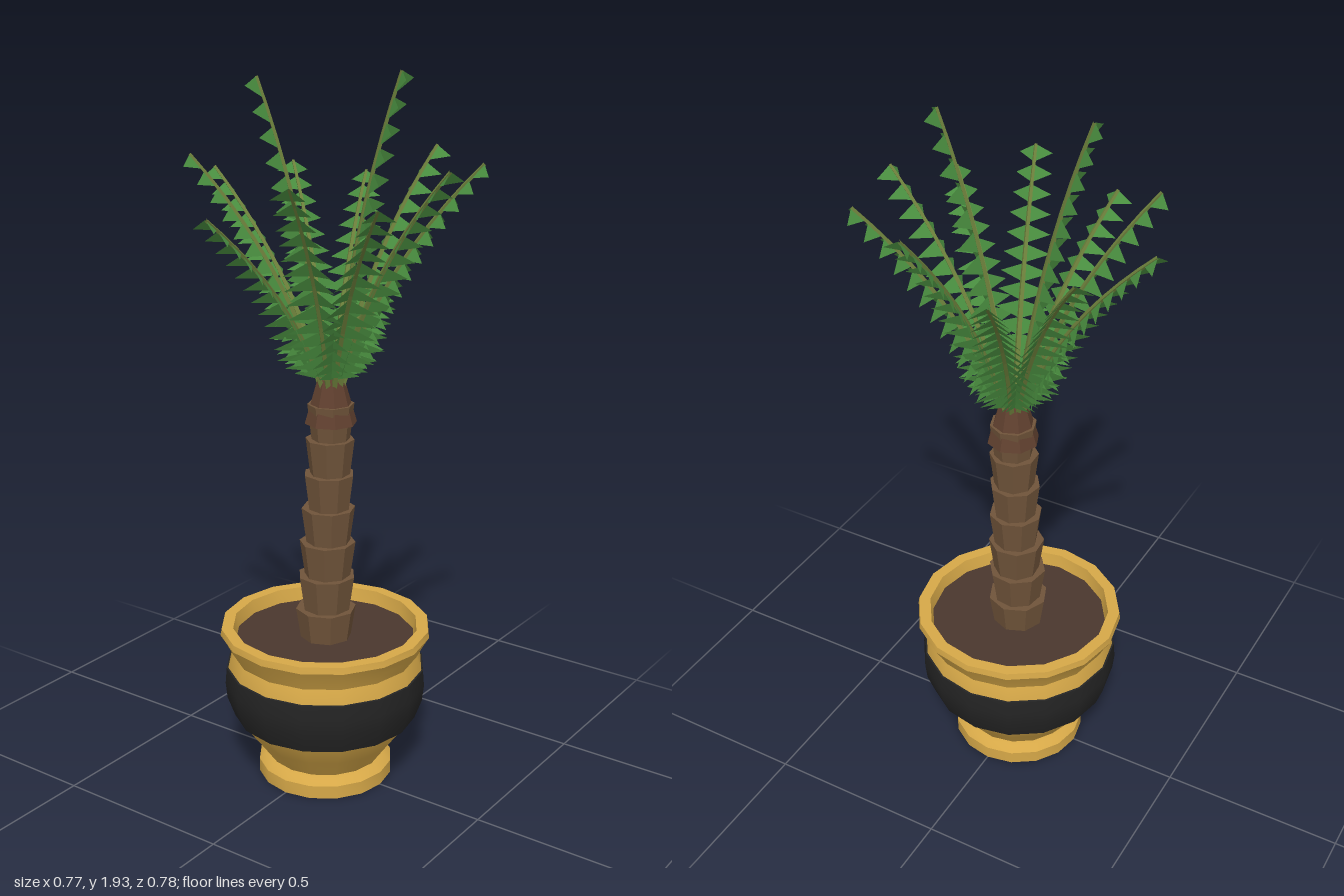
import * as THREE from 'three';
import { toCreasedNormals } from 'three/addons/utils/BufferGeometryUtils.js';

const mat = (name, color, extra = {}) => {
  const m = new THREE.MeshStandardMaterial({ color, ...extra });
  m.name = name;
  return m;
};

export function createModel() {
  const gold = mat('gold glaze', 0xd6a848);
  const black = mat('black glaze', 0x242424);
  const earth = mat('earth', 0x4a372d);
  const bark = mat('bark', 0x70543a, { flatShading: true });
  const crownBark = mat('crown bark', 0x60402f, { flatShading: true });
  const stemGreen = mat('stem green', 0x6c7f3b, { flatShading: true });
  const leafGreen = mat('leaf green', 0x4a8f40, { flatShading: true, side: THREE.DoubleSide });

  const model = new THREE.Group();
  model.name = 'pottedPalm';
  const add = (name, geometry, material, parent = model) => {
    const mesh = new THREE.Mesh(geometry, material);
    mesh.name = name;
    parent.add(mesh);
    return mesh;
  };
  const lathe = (points) => toCreasedNormals(
    new THREE.LatheGeometry(points.map(([r, y]) => new THREE.Vector2(r, y)), 16), 0.6);

  // Pot: foot, bowl, neck, rim and inner wall in one profile
  add('pot', lathe([
    [0, 0], [0.187, 0], [0.187, 0.037], [0.17, 0.052], [0.158, 0.056], [0.2, 0.115],
    [0.248, 0.18], [0.27, 0.235], [0.275, 0.28], [0.271, 0.325], [0.257, 0.365],
    [0.272, 0.395], [0.29, 0.425], [0.287, 0.443], [0.255, 0.443], [0.245, 0.39],
  ]), gold);
  // Painted band around the belly
  add('potBand', lathe([
    [0.247, 0.178], [0.254, 0.18], [0.274, 0.235], [0.279, 0.28], [0.275, 0.325], [0.268, 0.327],
  ]), black);
  const soil = add('soil', new THREE.CircleGeometry(0.25, 16), earth);
  soil.rotation.x = -Math.PI / 2;
  soil.position.y = 0.405;

  // Trunk: stacked collars that widen upward, leaning very slightly
  const lean = (y) => [0.012 * (y - 0.4) / 0.7, -0.01 * (y - 0.4) / 0.7];
  const trunk = new THREE.Group();
  trunk.name = 'trunk';
  model.add(trunk);
  for (let i = 0; i < 7; i++) {
    const top = 0.49 + i * 0.097;
    const r = 0.083 - i * 0.0034;
    const collar = add('trunkCollar', new THREE.CylinderGeometry(r, r * 0.77, 0.125, 8), bark, trunk);
    const [x, z] = lean(top);
    collar.position.set(x, top - 0.0625, z);
    collar.rotation.y = i * 0.25;
  }
  const [cx, cz] = lean(1.08);
  const crown = add('crownBase', new THREE.CylinderGeometry(0.037, 0.07, 0.115, 8), crownBark, trunk);
  crown.position.set(cx, 1.077, cz);

  // Fronds: tip positions, the first two upright and the rest arching outward
  const tips = [
    [0.18, 1.93, -0.07], [-0.16, 1.91, 0.07],
    [0.375, 1.71, 0.015], [0.31, 1.64, 0.225], [0.14, 1.69, 0.34], [-0.085, 1.6, 0.37],
    [-0.29, 1.72, 0.18], [-0.375, 1.66, -0.02], [-0.275, 1.66, -0.235],
    [-0.125, 1.63, -0.37], [0.12, 1.72, -0.34], [0.335, 1.7, -0.215],
  ];
  tips.forEach(([x, y, z], index) => {
    const frond = new THREE.Group();
    frond.name = 'frond';
    model.add(frond);
    const tip = new THREE.Vector3(x, y, z);
    const out = new THREE.Vector3(x - cx, 0, z - cz);
    const reach = out.length();
    out.normalize();
    const base = new THREE.Vector3(cx, 1.11, cz).addScaledVector(out, index < 2 ? 0.012 : 0.026);
    const bend = new THREE.Vector3(cx, 1.11 + (y - 1.11) * 0.55, cz).addScaledVector(out, reach * 0.32);
    const curve = new THREE.QuadraticBezierCurve3(base, bend, tip);

    // Stem: four-sided tube narrowed toward the tip
    const rings = 10;
    const tube = new THREE.TubeGeometry(curve, rings, 0.009, 4);
    const pos = tube.attributes.position;
    const v = new THREE.Vector3();
    for (let i = 0; i < pos.count; i++) {
      const t = Math.floor(i / 5) / rings;
      const centre = curve.getPointAt(t);
      v.fromBufferAttribute(pos, i).sub(centre).multiplyScalar(1 - 0.45 * t).add(centre);
      pos.setXYZ(i, v.x, v.y, v.z);
    }
    add('stem', tube, stemGreen, frond);

    // Leaflets: drooping triangle pairs, denser and longer toward the base
    const side = new THREE.Vector3(-out.z, 0, out.x);
    const corners = [];
    const pairs = 14;
    for (let i = 0; i < pairs; i++) {
      const s = i / (pairs - 1);
      const t = 0.13 + 0.87 * Math.pow(s, 1.2);
      const front = curve.getPointAt(Math.min(t, 1));
      const back = curve.getPointAt(Math.max(t - 0.07, 0));
      const along = curve.getTangentAt(Math.min(t, 1));
      const under = new THREE.Vector3().crossVectors(along, side);
      if (under.y > 0) under.negate();
      const length = (0.09 - 0.047 * s) * Math.min(1, 0.6 + s * 3);
      for (const sign of [-1, 1]) {
        const apex = front.clone()
          .addScaledVector(side, sign * length)
          .addScaledVector(under, length * 0.6)
          .addScaledVector(along, -length * 0.3);
        const tri = sign > 0 ? [front, back, apex] : [back, front, apex];
        tri.forEach((p) => corners.push(p.x, p.y, p.z));
      }
    }
    const leaves = new THREE.BufferGeometry();
    leaves.setAttribute('position', new THREE.Float32BufferAttribute(corners, 3));
    leaves.computeVertexNormals();
    add('leaflets', leaves, leafGreen, frond);
  });

  return model;
}
